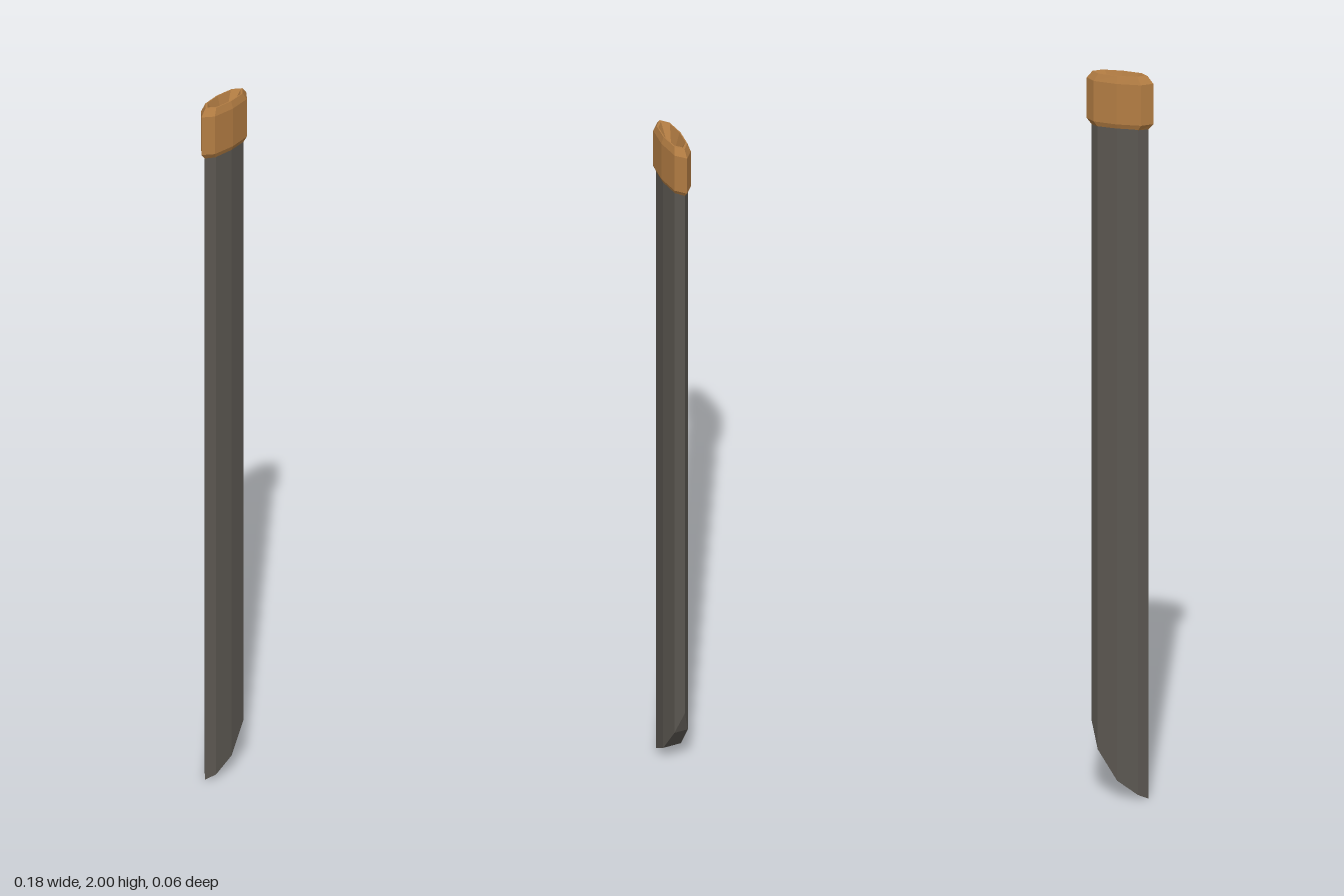
import * as THREE from 'three';

// Flattened octagon, listed counter-clockwise from above, as fractions of half width and half depth
const SECTION = [[1, 0], [0.71, -0.76], [0, -1], [-0.71, -0.76], [-1, 0], [-0.71, 0.76], [0, 1], [0.71, 0.76]];

const ring = (halfWidth, halfDepth, yAt) =>
  SECTION.map(([u, v], i) => [u * halfWidth, yAt(i), v * halfDepth]);
const level = (halfWidth, halfDepth, y) => ring(halfWidth, halfDepth, () => y);

// Skin a list of rings, each running on from the last
function loft(rings) {
  const out = [];
  const n = SECTION.length;
  for (let r = 0; r < rings.length - 1; r++) {
    const a = rings[r], b = rings[r + 1];
    for (let i = 0; i < n; i++) {
      const j = (i + 1) % n;
      out.push(...a[i], ...a[j], ...b[j], ...a[i], ...b[j], ...b[i]);
    }
  }
  return out;
}

function toMesh(name, positions, material) {
  const geometry = new THREE.BufferGeometry();
  geometry.setAttribute('position', new THREE.Float32BufferAttribute(positions, 3));
  geometry.computeVertexNormals(); // unshared corners give flat facets
  const mesh = new THREE.Mesh(geometry, material);
  mesh.name = name;
  return mesh;
}

export function createModel() {
  const group = new THREE.Group();
  group.name = 'scabbard';

  const leather = new THREE.MeshStandardMaterial({ color: 0x5b5751 });
  leather.name = 'dark grey leather';
  const bronze = new THREE.MeshStandardMaterial({ color: 0xb37d43 });
  bronze.name = 'bronze brown';

  // Sheath body with a curved slanting tip, highest at +x
  const tipY = [0.2, 0.13, 0.05, 0.014, 0, 0.014, 0.05, 0.13];
  const bottom = ring(0.078, 0.026, (i) => tipY[i]);
  const body = loft([bottom, level(0.078, 0.026, 1.87)]);

  // Tip underside: strips between the back and front edges
  const back = [0, 1, 2, 3, 4], front = [0, 7, 6, 5, 4];
  for (let k = 0; k < 4; k++) {
    const [b0, b1, f0, f1] = [back[k], back[k + 1], front[k], front[k + 1]].map((i) => bottom[i]);
    if (k < 3) body.push(...b1, ...f0.map((c, i) => (k === 0 ? b0[i] : c)), ...f1);
    if (k > 0) body.push(...b0, ...f0, ...b1);
  }
  group.add(toMesh('sheathBody', body, leather));

  // Collar: bevelled outside, narrow rim, hollow mouth narrowing to a point
  const collar = loft([
    level(0.076, 0.024, 1.85),
    level(0.092, 0.031, 1.868),
    level(0.092, 0.031, 1.98),
    level(0.076, 0.025, 2),
    level(0.067, 0.022, 2),
    level(0, 0, 1.92),
  ]);
  group.add(toMesh('throatCollar', collar, bronze));

  return group;
}
